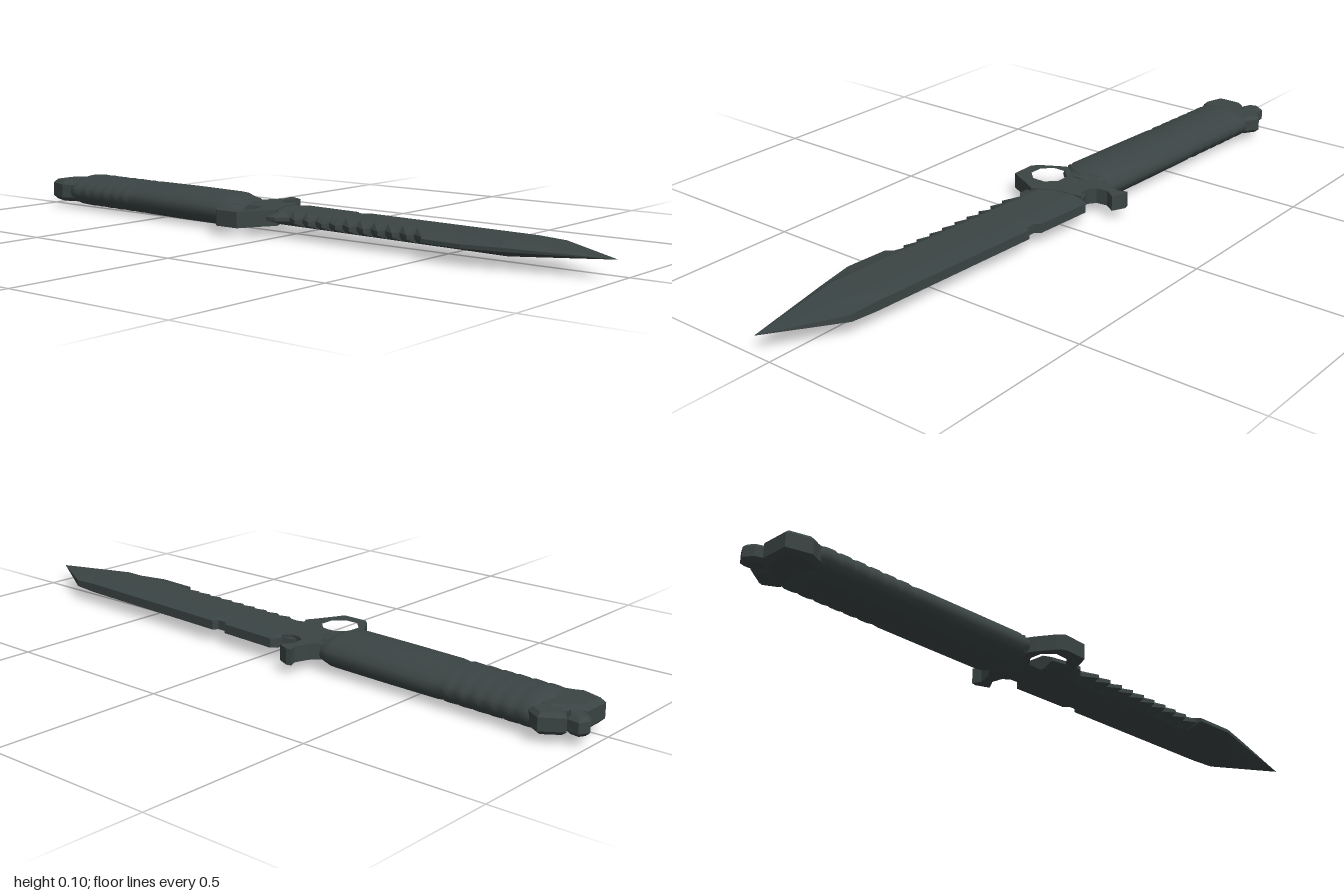
import * as THREE from 'three';

const MID = 0.049; // height of the knife's centre plane
const axis = (x) => 0.05 * x + 0.006; // the knife lies slightly turned

// Skin a row of closed rings; each ring is a list of [x, y, z]
function loft(rings, smooth) {
  const n = rings[0].length, pos = rings.flat(2), idx = [];
  for (let i = 0; i < rings.length - 1; i++) {
    for (let j = 0; j < n; j++) {
      const a = i * n + j, b = i * n + (j + 1) % n;
      idx.push(a, a + n, b, b, a + n, b + n);
    }
  }
  // end caps with their own vertices
  [rings[0], rings[rings.length - 1]].forEach((ring, end) => {
    const base = pos.length / 3;
    pos.push(...ring.flat());
    for (let j = 1; j < n - 1; j++) {
      if (end) idx.push(base, base + j + 1, base + j);
      else idx.push(base, base + j, base + j + 1);
    }
  });
  let g = new THREE.BufferGeometry();
  g.setAttribute('position', new THREE.Float32BufferAttribute(pos, 3));
  g.setIndex(idx);
  if (!smooth) g = g.toNonIndexed();
  g.computeVertexNormals();
  return g;
}

// Flat plate from an outline in [x, z], centred on the middle plane
function plate(points, half, bevel = 0, hole = null) {
  const shape = new THREE.Shape(points.map(([x, z]) => new THREE.Vector2(x, -z)));
  if (hole) shape.holes.push(new THREE.Path(hole.map(([x, z]) => new THREE.Vector2(x, -z))));
  const g = new THREE.ExtrudeGeometry(shape, {
    depth: 2 * (half - bevel), bevelEnabled: bevel > 0, bevelSegments: 1,
    bevelSize: bevel, bevelThickness: bevel, bevelOffset: -bevel,
  });
  g.translate(0, 0, bevel - half);
  g.rotateX(-Math.PI / 2);
  g.translate(0, MID, 0);
  return g;
}

// Height of a polyline at x
function along(points, x) {
  for (let i = 1; i < points.length; i++) {
    const [x0, z0] = points[i - 1], [x1, z1] = points[i];
    if (x <= x1) return z0 + (z1 - z0) * Math.max(0, (x - x0) / (x1 - x0));
  }
  return points[points.length - 1][1];
}

function bladeGeometry() {
  const spine = [[-0.1, -0.07], [-0.06, -0.085], [-0.043, -0.112], [0.138, -0.1], [0.148, -0.085],
    [0.178, -0.084], [0.186, -0.099], [0.8, -0.064], [0.995, 0.05]];
  const edge = [[-0.1, 0.07], [-0.03, 0.088], [-0.005, 0.088]];
  // saw teeth, each ramping out and stepping back
  for (let i = 0; i < 10; i++) {
    const x = 0.025 + i * 0.047, z = 0.061 + 0.038 * x;
    edge.push([x, z], [x + 0.044, z + 0.03]);
  }
  edge.push([0.494, 0.08], [0.498, 0.123], [0.62, 0.131], [0.995, 0.051]);
  const xs = [...new Set([...spine, ...edge].map((p) => p[0]).concat(0.72))].sort((a, b) => a - b);
  return loft(xs.map((x) => {
    const k = Math.min(1, (0.996 - x) / 0.275);
    const z0 = along(spine, x), z1 = along(edge, x);
    const c = axis(x) - 0.004, t = 0.02 * k, s = 0.013 * k, e = 0.005 * k;
    const r1 = Math.min(c + 0.04 * k, z1), r0 = Math.max(c - 0.055 * k, z0);
    return [[z1, e], [r1, t], [r0, t], [z0, s], [z0, -s], [r0, -t], [r1, -t], [z1, -e]]
      .map(([z, y]) => [x, MID + y, z]);
  }), false);
}

function gripGeometry() {
  // [x, half width, half height]
  const rows = [[-0.885, 0.07, 0.028], [-0.87, 0.09, 0.04]];
  // finger ribs near the pommel
  for (let i = 0; i < 6; i++) {
    const x = -0.855 + i * 0.045;
    rows.push([x, 0.094, 0.047], [x + 0.024, 0.094, 0.048], [x + 0.034, 0.089, 0.045]);
  }
  rows.push([-0.57, 0.093, 0.048], [-0.4, 0.094, 0.049], [-0.23, 0.096, 0.048],
    [-0.2, 0.09, 0.038], [-0.185, 0.07, 0.03], [-0.155, 0.05, 0.025]);
  const sides = 20;
  return loft(rows.map(([x, w, h]) => Array.from({ length: sides }, (_, j) => {
    const a = (j / sides) * Math.PI * 2;
    return [x, MID + h * Math.sin(a), axis(x) + w * Math.cos(a)];
  })), true);
}

export function createModel() {
  const knife = new THREE.Group();
  knife.name = 'knife';
  const steel = new THREE.MeshStandardMaterial({ color: 0x3b4444 });
  steel.name = 'dark steel';
  const add = (name, geometry) => {
    const mesh = new THREE.Mesh(geometry, steel);
    mesh.name = name;
    knife.add(mesh);
    return mesh;
  };

  add('blade', bladeGeometry());
  add('grip', gripGeometry());

  // Guard with a hook on the spine side and a ring on the edge side
  const ringHole = Array.from({ length: 8 }, (_, i) => {
    const a = ((i + 0.5) / 8) * Math.PI * 2;
    return [-0.127 + 0.052 * Math.cos(a), 0.08 + 0.052 * Math.sin(a)];
  });
  add('guard', plate([
    [-0.15, -0.168], [-0.112, -0.15], [-0.134, -0.118], [-0.13, -0.085], [-0.11, -0.07],
    [-0.085, -0.068], [-0.06, -0.084], [-0.05, 0.0], [-0.02, 0.06], [-0.043, 0.1],
    [-0.075, 0.163], [-0.15, 0.163], [-0.168, 0.145], [-0.196, 0.096], [-0.222, 0.04],
    [-0.2, 0.01], [-0.194, -0.07], [-0.168, -0.1], [-0.155, -0.14], [-0.165, -0.165],
  ], 0.022, 0, ringHole));

  // Raised collar where the guard meets the grip
  add('collar', plate([
    [-0.215, -0.07], [-0.175, -0.06], [-0.16, 0.0], [-0.18, 0.04], [-0.215, 0.08],
  ], 0.03, 0.008));

  // Faceted pommel: block, spur and end nub
  add('pommelBlock', plate([
    [-0.97, -0.045], [-0.97, 0.035], [-0.905, 0.056], [-0.88, 0.045], [-0.84, 0.035],
    [-0.84, -0.1], [-0.9, -0.1], [-0.94, -0.07],
  ], 0.032, 0.012));
  add('pommelSpur', plate([
    [-0.955, -0.112], [-0.9, -0.15], [-0.855, -0.122], [-0.85, -0.06], [-0.92, -0.06],
  ], 0.027, 0.01));
  add('pommelNub', plate([
    [-1.0, -0.085], [-0.985, -0.112], [-0.95, -0.106], [-0.925, -0.07], [-0.955, -0.048], [-0.985, -0.06],
  ], 0.024, 0.01));

  return knife;
}
